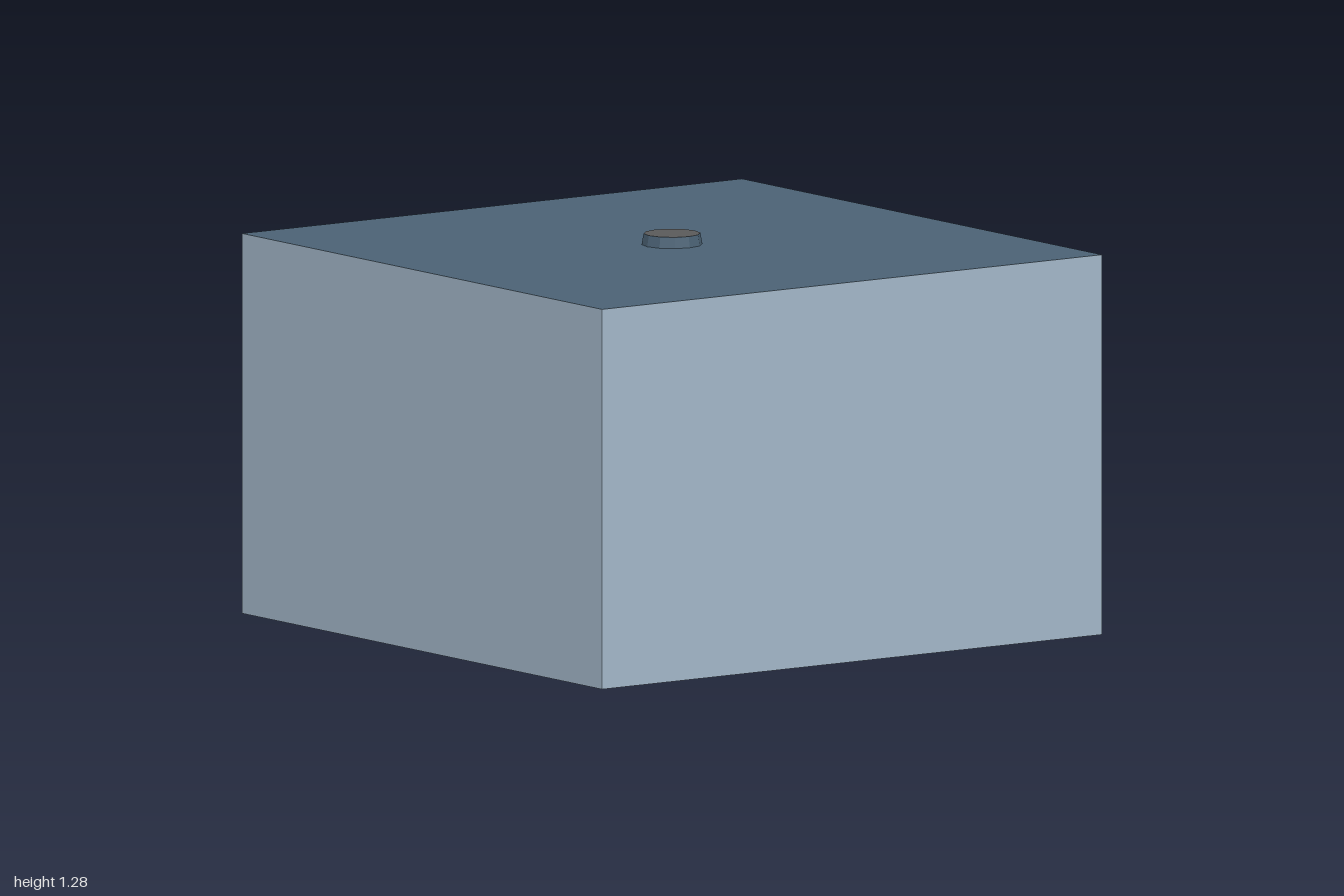
import * as THREE from 'three';

const paint = (name, color) => {
  const m = new THREE.MeshStandardMaterial({ color });
  m.name = name;
  return m;
};

export function createModel() {
  const light = paint('pale blue', 0xa4b8ca);
  const dark = paint('slate blue', 0x4b6275);
  const grey = paint('dark grey', 0x5a5a5a);
  const group = new THREE.Group();

  const add = (name, geometry, material, x, y, z) => {
    const mesh = new THREE.Mesh(geometry, material);
    mesh.name = name;
    mesh.position.set(x, y, z);
    group.add(mesh);
    return mesh;
  };
  // Box from its limits; materials in the order +x, -x, +y, -y, +z, -z
  const block = (name, halfX, y0, y1, z0, z1, materials) =>
    add(name, new THREE.BoxGeometry(halfX * 2, y1 - y0, z1 - z0), materials,
      0, (y0 + y1) / 2, (z0 + z1) / 2);

  // Main body with slate roof and grey underside
  block('body', 0.97, 0.04, 1.25, -0.94, 1, [light, light, dark, grey, light, light]);

  // Upright panel on the back, its lower sides slate
  block('panelUpper', 0.18, 0.33, 0.82, -1, -0.94, [light, light, light, dark, light, dark]);
  block('panelLower', 0.18, 0.04, 0.33, -1, -0.94, [dark, dark, dark, dark, light, dark]);

  // Foot below the panel, reaching under the body, with an inset on its front
  block('panelFoot', 0.18, 0, 0.04, -1, -0.88, [dark, dark, dark, dark, light, dark]);
  block('footInset', 0.15, 0.012, 0.034, -0.88, -0.876, grey);

  // Round cap on the roof: slate side, grey top
  const centreZ = 0.03;
  const cap = new THREE.CylinderGeometry(0.09, 0.096, 0.035, 12).toNonIndexed();
  cap.computeVertexNormals();
  add('roofCap', cap, [dark, grey, dark], 0, 1.2675, centreZ);

  // Four small studs under the body
  const stud = new THREE.CylinderGeometry(0.03, 0.03, 0.01, 12);
  for (const x of [-0.12, 0.12])
    for (const z of [-0.12, 0.12]) add('stud', stud, grey, x, 0.035, centreZ + z);

  return group;
}
